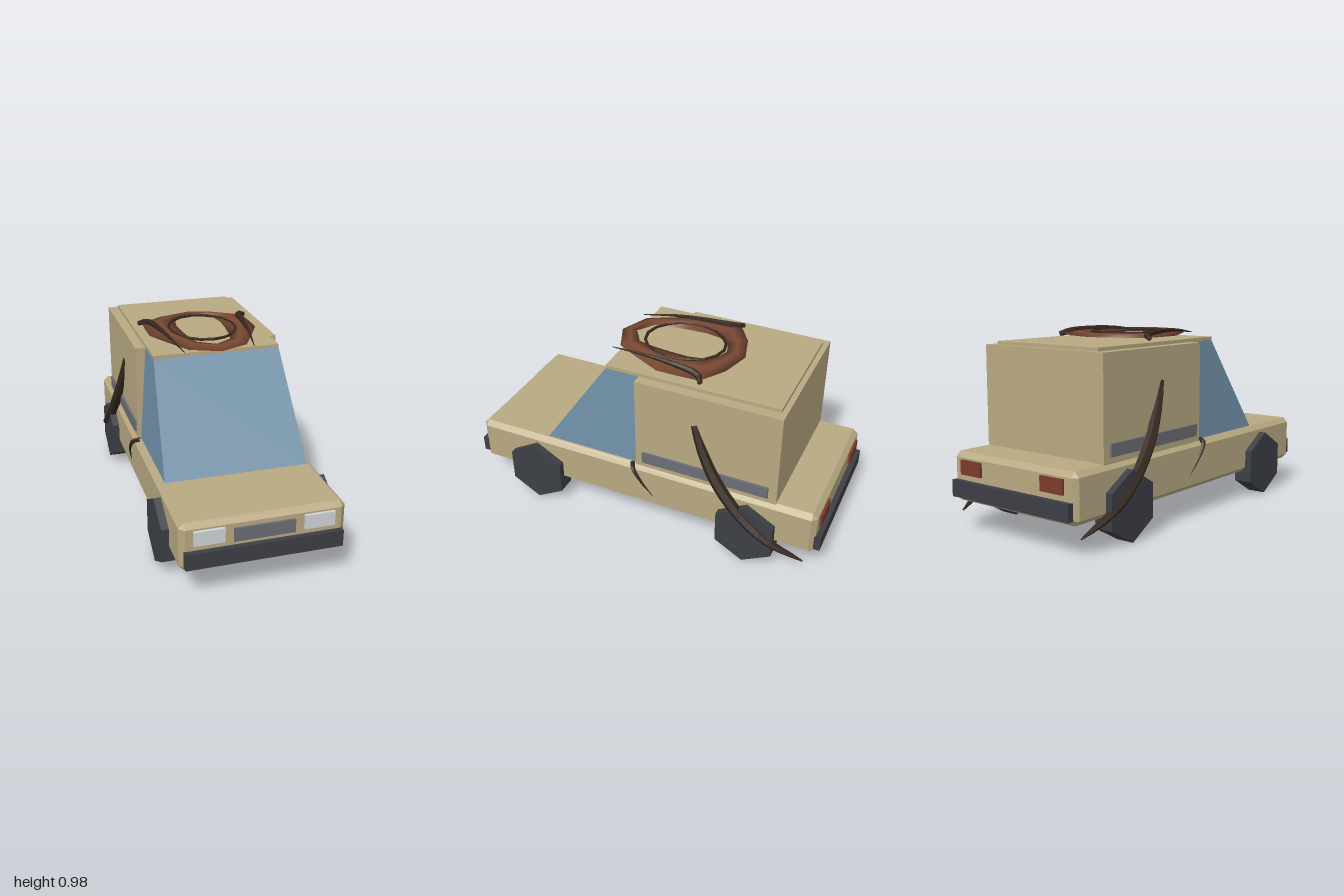
import * as THREE from 'three';
import { ConvexGeometry } from 'three/addons/geometries/ConvexGeometry.js';

const mat = (color, extra = {}) => new THREE.MeshStandardMaterial({ color, flatShading: true, ...extra });
const V = (x, y, z) => new THREE.Vector3(x, y, z);

// Box given by its min and max corners
function box(name, x0, x1, y0, y1, z0, z1, material) {
  const m = new THREE.Mesh(new THREE.BoxGeometry(x1 - x0, y1 - y0, z1 - z0), material);
  m.position.set((x0 + x1) / 2, (y0 + y1) / 2, (z0 + z1) / 2);
  m.name = name;
  return m;
}

// Box with every edge chamfered by c
function chamferBox(hx, hy, hz, c) {
  const pts = [];
  for (const x of [-1, 1]) for (const y of [-1, 1]) for (const z of [-1, 1]) {
    pts.push(V(x * hx, y * (hy - c), z * (hz - c)));
    pts.push(V(x * (hx - c), y * hy, z * (hz - c)));
    pts.push(V(x * (hx - c), y * (hy - c), z * hz));
  }
  return new ConvexGeometry(pts);
}

// Curved horn: a tube whose radius follows radiusAt(t)
function horn(name, points, radiusAt, material, side, closed = false) {
  const segs = closed ? 18 : 14, sides = 6;
  const curve = new THREE.CatmullRomCurve3(points.map(([x, y, z]) => V(x * side, y, z)), closed);
  const geo = new THREE.TubeGeometry(curve, segs, 1, sides, closed);
  const p = geo.attributes.position, v = V(0, 0, 0);
  for (let i = 0; i < p.count; i++) {
    const t = Math.floor(i / (sides + 1)) / segs;
    const c = curve.getPointAt(t);
    v.fromBufferAttribute(p, i).sub(c).multiplyScalar(radiusAt(t)).add(c);
    p.setXYZ(i, v.x, v.y, v.z);
  }
  geo.computeVertexNormals();
  const m = new THREE.Mesh(geo, material);
  m.name = name;
  return m;
}

// Flat irregular ring lofted from outer and inner outlines (half outlines, mirrored)
function roofRing(material) {
  const half = [ // outer x, outer z, inner x, inner z
    [0, -0.42, 0, -0.32], [0.16, -0.375, 0.06, -0.3], [0.29, -0.29, 0.11, -0.24],
    [0.295, -0.17, 0.125, -0.16], [0.295, -0.06, 0.12, -0.06], [0.23, 0.07, 0.11, 0.04],
    [0.155, 0.21, 0.09, 0.13], [0, 0.275, 0, 0.19],
  ];
  const ring = half.concat(half.slice(1, -1).reverse().map(([a, b, c, d]) => [-a, b, -c, d]));
  const pos = [], idx = [], n = ring.length;
  ring.forEach(([ox, oz, ix, iz], i) => {
    const mx = (ox + ix) / 2, mz = (oz + iz) / 2;
    pos.push(ox, 0.947, oz, mx, 0.966, mz, ix, 0.958, iz, mx, 0.945, mz);
    for (let k = 0; k < 4; k++) {
      const a = i * 4 + k, b = i * 4 + (k + 1) % 4;
      const c = ((i + 1) % n) * 4 + k, d = ((i + 1) % n) * 4 + (k + 1) % 4;
      idx.push(a, b, c, b, d, c);
    }
  });
  const geo = new THREE.BufferGeometry();
  geo.setAttribute('position', new THREE.Float32BufferAttribute(pos, 3));
  geo.setIndex(idx);
  geo.computeVertexNormals();
  const m = new THREE.Mesh(geo, material);
  m.name = 'roofRing';
  return m;
}

export function createModel() {
  const model = new THREE.Group();
  model.name = 'hornedCar';
  const car = new THREE.Group();
  car.name = 'car';
  car.position.x = -0.003;
  model.add(car);

  const paint = mat(0xb8a982);
  const glass = mat(0x6f90a8);
  const dark = mat(0x3c3f45);
  const trim = mat(0x6b6e75);
  const lamp = mat(0xcfd4d8);
  const red = mat(0x7d3a2c);
  const hide = mat(0x7b4a34, { flatShading: false, side: THREE.DoubleSide });
  const bone = mat(0x35271e, { side: THREE.DoubleSide });

  // Lower body
  const body = new THREE.Mesh(chamferBox(0.408, 0.125, 0.972, 0.026), paint);
  body.position.y = 0.273;
  body.name = 'lowerBody';
  car.add(body);

  // Rear cabin and raised roof panel
  car.add(box('cabin', -0.388, 0.388, 0.39, 0.912, -0.755, 0.02, paint));
  car.add(box('roofPanel', -0.335, 0.335, 0.905, 0.93, -0.727, 0.205, paint));

  // Slanted glass house
  const pts = [];
  for (const s of [-1, 1]) {
    pts.push(V(s * 0.373, 0.397, 0.56), V(s * 0.373, 0.397, 0));
    pts.push(V(s * 0.335, 0.912, 0.205), V(s * 0.335, 0.912, 0));
  }
  const windshield = new THREE.Mesh(new ConvexGeometry(pts), glass);
  windshield.name = 'glassHouse';
  car.add(windshield);

  // Bumpers and grille
  car.add(box('frontBumper', -0.388, 0.388, 0.175, 0.26, 0.95, 1, dark));
  car.add(box('rearBumper', -0.388, 0.388, 0.175, 0.26, -1, -0.95, dark));
  car.add(box('grille', -0.15, 0.15, 0.28, 0.35, 0.95, 0.982, trim));

  for (const s of [-1, 1]) {
    const cx = s * 0.27;
    car.add(box('headlight', cx - 0.075, cx + 0.075, 0.29, 0.363, 0.95, 0.988, lamp));
    car.add(box('tailLight', cx - 0.07, cx + 0.07, 0.29, 0.363, -0.985, -0.95, red));
    car.add(box('sideStrip', s * 0.39 - 0.01, s * 0.39 + 0.01, 0.425, 0.488, -0.71, -0.02, trim));

    // Six-sided wheels
    for (const z of [0.617, -0.612]) {
      const geo = new THREE.CylinderGeometry(0.178, 0.178, 0.103, 6);
      geo.rotateY(Math.PI / 2).rotateZ(Math.PI / 2);
      const wheel = new THREE.Mesh(geo, dark);
      wheel.position.set(s * 0.394, 0.179, z);
      wheel.name = 'wheel';
      car.add(wheel);
    }

    // Large side horns sweeping over the rear wheels
    model.add(horn('sideHorn', [
      [0.38, 0.745, -0.305], [0.395, 0.625, -0.35], [0.418, 0.455, -0.445],
      [0.435, 0.28, -0.6], [0.438, 0.18, -0.74], [0.4, 0.085, -0.925],
    ], t => 0.004 + 0.027 * Math.pow(Math.sin(Math.PI * Math.min(1, 0.12 + t * 0.88)), 0.7), bone, s));

    // Small horns behind the doors
    model.add(horn('smallHorn', [
      [0.385, 0.398, 0.04], [0.42, 0.385, 0.02], [0.43, 0.32, -0.03], [0.412, 0.225, -0.09],
    ], t => 0.013 * (1 - t) + 0.001, bone, s));

    // Roof horns
    model.add(horn('roofHorn', [
      [0.305, 0.945, -0.3], [0.265, 0.96, -0.27], [0.235, 0.971, -0.1],
      [0.215, 0.968, 0.06], [0.185, 0.947, 0.24],
    ], t => 0.002 + 0.018 * Math.min(1, 0.6 + t * 4) * (1 - t), bone, s));
  }

  // Roof ring with a thin dark hoop
  model.add(roofRing(hide));
  const hoop = [];
  for (let i = 0; i < 14; i++) {
    const a = (i / 14) * Math.PI * 2;
    hoop.push([0.178 * Math.sin(a), 0.962, -0.09 + 0.215 * Math.cos(a)]);
  }
  model.add(horn('roofHoop', hoop, () => 0.008, bone, 1, true));

  return model;
}
